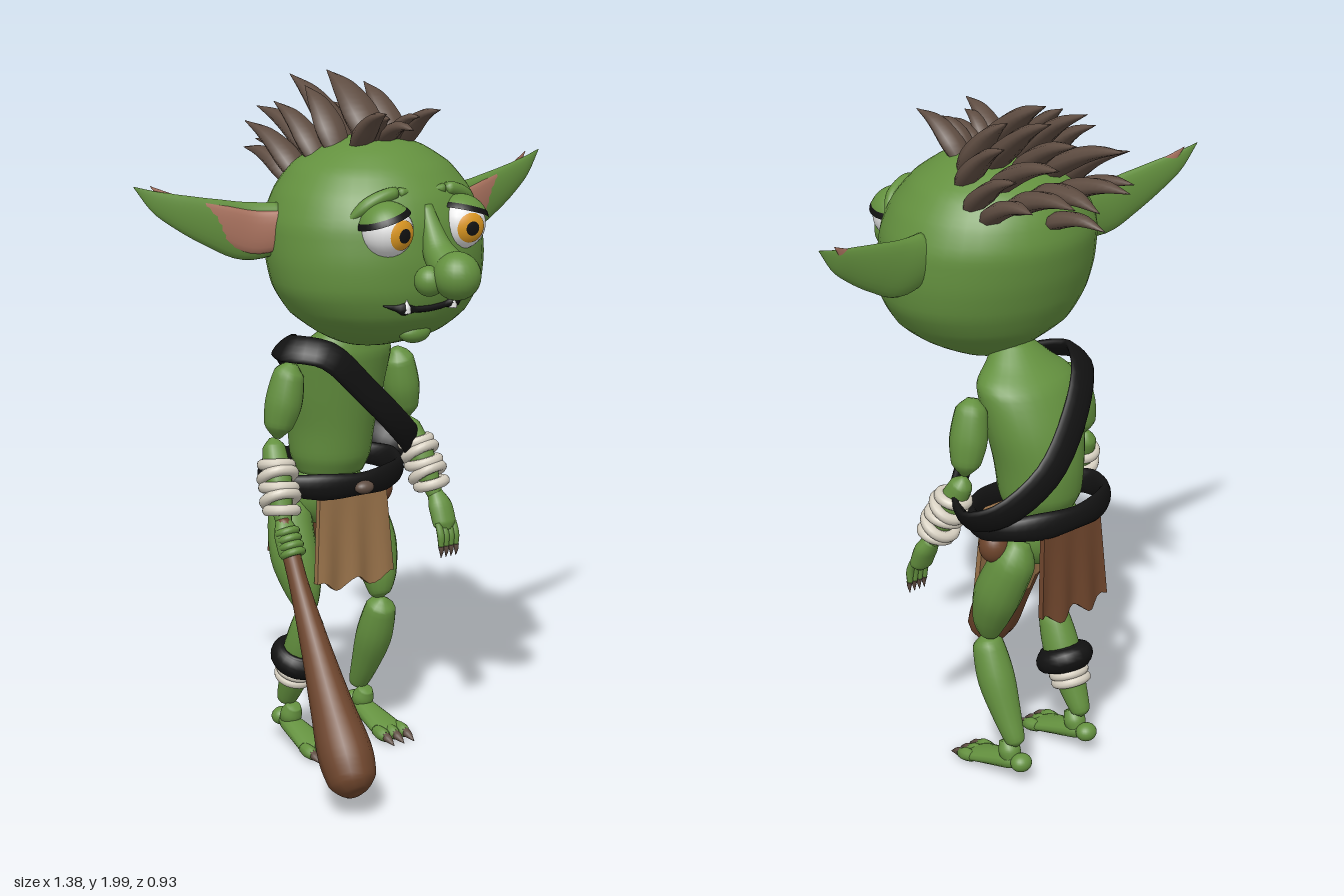
import * as THREE from 'three';

const mat = (name, color) => Object.assign(new THREE.MeshStandardMaterial({ color }), { name });
const V = (x, y, z) => new THREE.Vector3(x, y, z);

export function createModel() {
  const root = new THREE.Group();
  const skin = mat('green skin', 0x64913f), pink = mat('inner ear pink', 0xac7460), hairMat = mat('hair and claws', 0x5f4d42),
    cream = mat('bandage cream', 0xd6cfc0), white = mat('eye white', 0xe4e4e4), amber = mat('amber iris', 0xe09a22),
    black = mat('black leather', 0x121212), wood = mat('brown wood', 0x6e452c), tan = mat('tan cloth', 0x977149);

  const add = (name, geo, m, pos) => {
    const mesh = new THREE.Mesh(geo, m);
    mesh.name = name;
    if (pos) mesh.position.set(...pos);
    root.add(mesh);
    return mesh;
  };

  // Smooth skin through oval sections; rows are [x, y, z, radius, second radius]
  const loft = (name, m, rows, { n = 14, ref = [1, 0, 0], tan: fixed, closed = false, center } = {}) => {
    const steps = rows.length * 4;
    const path = new THREE.CatmullRomCurve3(rows.map(r => V(r[0], r[1], r[2])), closed);
    const size = new THREE.CatmullRomCurve3(rows.map(r => V(r[3], r[4] ?? r[3], 0)), closed);
    const pos = [], idx = [], rings = closed ? steps : steps + 1;
    for (let i = 0; i < rings; i++) {
      const p = path.getPoint(i / steps), q = size.getPoint(i / steps);
      const t = fixed ? V(...fixed) : path.getTangent(i / steps);
      const s = center ? p.clone().sub(V(...center)) : V(...ref);
      s.addScaledVector(t, -s.dot(t)).normalize();
      const b = t.clone().cross(s);
      for (let j = 0; j < n; j++) {
        const a = j / n * Math.PI * 2;
        const v = p.clone().addScaledVector(s, Math.cos(a) * Math.max(q.x, 0.0005)).addScaledVector(b, Math.sin(a) * Math.max(q.y, 0.0005));
        pos.push(v.x, v.y, v.z);
      }
    }
    for (let i = 0; i < steps; i++) for (let j = 0; j < n; j++) {
      const k = (j + 1) % n, a = i * n, c = ((i + 1) % rings) * n;
      idx.push(a + j, a + k, c + j, a + k, c + k, c + j);
    }
    if (!closed) {
      const e = pos.length / 3, f = rows[0], l = rows[rows.length - 1];
      pos.push(f[0], f[1], f[2], l[0], l[1], l[2]);
      for (let j = 0; j < n; j++) {
        const k = (j + 1) % n;
        idx.push(e, k, j, e + 1, steps * n + j, steps * n + k);
      }
    }
    const g = new THREE.BufferGeometry();
    g.setAttribute('position', new THREE.Float32BufferAttribute(pos, 3));
    g.setIndex(idx);
    g.computeVertexNormals();
    return add(name, g, m);
  };
  const ball = (name, m, pos, r, scale = [1, 1, 1]) => {
    const b = add(name, new THREE.SphereGeometry(r, 24, 16), m, pos);
    b.scale.set(...scale);
    return b;
  };
  // Part of a sphere around an axis, for lids and irises
  const cap = (name, m, pos, r, axis, start, length) =>
    add(name, new THREE.SphereGeometry(r, 28, 10, 0, Math.PI * 2, start, length), m, pos)
      .quaternion.setFromUnitVectors(V(0, 1, 0), V(...axis).normalize());
  const ring = (name, m, pos, dir, r, tube, squash = 1) => {
    const t = add(name, new THREE.TorusGeometry(r, tube, 10, 28), m, pos);
    t.quaternion.setFromUnitVectors(V(0, 0, 1), V(...dir).normalize());
    t.scale.z = squash;
  };

  // Head
  const HEAD = [[0, 1.235, -.01, .01, .01], [0, 1.25, 0, .09, .08], [0, 1.29, .03, .18, .165], [0, 1.35, .03, .26, .235],
    [0, 1.43, .025, .307, .27], [0, 1.52, .015, .317, .285], [0, 1.6, .005, .312, .287], [0, 1.68, 0, .28, .265],
    [0, 1.75, -.005, .225, .215], [0, 1.8, 0, .145, .14], [0, 1.825, 0, .07, .07], [0, 1.832, 0, .005, .005]];
  loft('head', skin, HEAD, { n: 40, tan: [0, 1, 0] });
  const faceZ = (x, y) => {
    const i = HEAD.findIndex(r => r[1] > y), a = HEAD[i - 1], b = HEAD[i], t = (y - a[1]) / (b[1] - a[1]);
    const mix = k => a[k] + (b[k] - a[k]) * t;
    return mix(2) + mix(4) * Math.sqrt(1 - (x / mix(3)) ** 2);
  };

  // Nose, chin and mouth
  loft('noseBridge', skin, [[0, 1.66, .255, .02], [0, 1.6, .285, .03], [0, 1.54, .32, .045], [0, 1.5, .37, .055]]);
  ball('noseTip', skin, [0, 1.49, .4], .066);
  ball('chin', skin, [0, 1.305, faceZ(0, 1.305) - .005], .045, [1.1, .65, .7]);
  const lip = [-.14, -.1, -.05, 0, .05, .1, .14].map((x, i) => {
    const y = 1.385 + x * x * 1.1 + x * .04;
    return [x, y, faceZ(x, y) + .004, i % 6 ? .009 : .002];
  });
  loft('mouth', black, lip, { n: 8, ref: [0, 1, 0] });
  for (const x of [-.08, .075]) {
    const z = faceZ(x, 1.39) + .012;
    loft('tooth', white, [[x, 1.378, z, .012], [x, 1.395, z, .01], [x, 1.415, z, .001]], { n: 8 });
  }

  for (const s of [-1, 1]) {
    ball('nostril', skin, [s * .055, 1.475, .35], .042);
    // Eye with a drooping lid
    const eye = [s * .122, 1.603, .248], gaze = [-s * .12, -.08, 1];
    ball('eyeball', white, eye, .072);
    cap('iris', amber, eye, .0735, gaze, 0, .6);
    cap('pupil', black, eye, .075, gaze, 0, .27);
    cap('eyelid', skin, eye, .081, [s * .3, 1, -.1], 0, 1.02);
    cap('lashLine', black, eye, .082, [s * .3, 1, -.1], .98, .22);
    loft('brow', skin, [[s * .04, 1.70, .235, .008], [s * .1, 1.70, .235, .018], [s * .16, 1.675, .22, .02], [s * .21, 1.63, .19, .008]]);
    // Ear, with a lining on its front
    const EAR = [[.27, 1.59, -.04, .07, .035], [.37, 1.585, -.06, .08, .025], [.465, 1.613, -.075, .067, .02],
      [.55, 1.645, -.09, .05, .015], [.62, 1.677, -.105, .032, .01], [.69, 1.725, -.12, .001, .001]];
    loft('ear', skin, EAR.map(([x, ...r]) => [s * x, ...r]), { n: 20, ref: [0, 1, 0] });
    loft('earLining', pink, EAR.map(([x, y, z, h, t]) => [s * (x - (x - .27) * .12), y - .002, z + t * .8, h * .74, t * .5]), { n: 16, ref: [0, 1, 0] });
  }

  // Hair spikes: base x, y, z then tip x, y, z; side spikes are mirrored
  const spike = (x, y, z, X, Y, Z, w = .05) => {
    const at = (t, lift) => [x + (X - x) * t, y + (Y - y) * t + lift, z + (Z - z) * t];
    loft('hairSpike', hairMat, [[...at(-.1, -.01), w * .6, w * .4], [...at(.2, .02), w, w * .6],
      [...at(.6, .025), w * .65, w * .4], [...at(1, 0), .001]], { n: 8 });
  };
  spike(0, 1.82, 0, 0, 1.99, -.22, .06);
  spike(0, 1.78, -.12, .03, 1.92, -.37);
  spike(0, 1.73, -.19, .03, 1.76, -.46);
  spike(0, 1.66, -.23, -.02, 1.69, -.43, .04);
  spike(0, 1.81, .05, 0, 1.86, .2, .035);
  for (const s of [-1, 1]) [[.1, 1.79, -.02, .1, 1.955, -.18], [.05, 1.8, -.07, .065, 1.975, -.31],
    [.14, 1.76, -.05, .165, 1.91, -.24, .045], [.09, 1.76, -.13, .12, 1.88, -.4], [.165, 1.71, -.11, .205, 1.85, -.33, .045],
    [.08, 1.71, -.18, .1, 1.78, -.44], [.15, 1.69, -.16, .185, 1.77, -.37, .045], [.07, 1.8, .04, .09, 1.91, .2, .04],
    [.035, 1.81, .05, .05, 1.89, .16, .03]].forEach(([x, y, z, X, ...r]) => spike(s * x, y, z, s * X, ...r));

  // Hunched torso and hips
  loft('torso', skin, [[0, 1.3, -.09, .05, .05], [0, 1.25, -.12, .1, .075], [0, 1.19, -.15, .158, .11], [0, 1.08, -.185, .15, .125],
    [0, .97, -.205, .13, .125], [0, .88, -.21, .12, .115], [0, .83, -.21, .1, .09]], { n: 28, tan: [0, -1, 0] });
  ball('hips', skin, [0, .76, -.23], .1, [1.25, 1, .8]);

  // Belt, shoulder sash and small things hung from the belt
  loft('belt', black, Array.from({ length: 12 }, (_, i) => {
    const a = i / 12 * Math.PI * 2;
    return [Math.cos(a) * .215, .828 - Math.sin(a) * .012, -.205 + Math.sin(a) * .15, .018, i % 2 ? .034 : .04];
  }), { closed: true, center: [0, .83, -.2] });
  loft('sash', black, [[-.195, 1.225, -.13], [-.12, 1.21, -.045], [0, 1.1, -.035], [.12, .99, -.055], [.23, .895, -.12], [.265, .86, -.2],
    [.22, .89, -.29], [.1, .99, -.345], [-.03, 1.11, -.31], [-.14, 1.21, -.23]].map(p => [...p, .015, .045]),
  { closed: true, center: [0, 1.04, -.19] });
  ball('beltKnot', hairMat, [0, .81, -.035], .028, [1.1, .7, .8]);
  ball('pouch', wood, [.165, .75, -.2], .043, [1, 1.15, 1]);

  // Loincloth panels with wavy hems
  const cloth = (name, m, top, bottom, zTop, zBottom, w) => {
    const g = new THREE.BoxGeometry(2, 1, .018, 16, 6, 1), p = g.attributes.position;
    for (let i = 0; i < p.count; i++) {
      const u = p.getX(i), v = .5 - p.getY(i);
      p.setXYZ(i, u * w * (.85 + .15 * v), top + (bottom - top) * v + v * .018 * Math.cos(u * 7),
        p.getZ(i) + zTop + (zBottom - zTop) * v + Math.cos(u * 8) * .008 * v);
    }
    g.computeVertexNormals();
    add(name, g, m);
  };
  cloth('frontLoincloth', tan, .81, .515, -.1, -.085, .135);
  cloth('backLoincloth', wood, .83, .55, -.335, -.35, .125);

  for (const s of [-1, 1]) {
    // Arm and bandaged wrist
    loft('upperArm', skin, [[s * .18, 1.18, -.13, .015], [s * .19, 1.15, -.135, .045], [s * .205, 1.07, -.14, .054],
      [s * .22, 1, -.145, .042], [s * .225, .965, -.145, .01]]);
    loft('forearm', skin, [[s * .235, .965, -.155, .01], [s * .237, .94, -.145, .033], [s * .25, .86, -.105, .04],
      [s * .262, .77, -.065, .028], [s * .267, .73, -.045, .02]]);
    [[.895, .04], [.865, .046], [.835, .044], [.805, .046], [.775, .04]].forEach(([y, r], i) =>
      ring('wristBandage', cream, [s * (.25 + (.86 - y) * .15), y, -.105 + (.86 - y) * .45], [s * .15, -1, .45 + (i % 2 ? .25 : -.2)], r, .016));
    loft('palm', skin, [[s * .267, .75, -.055, .022], [s * .27, .71, -.03, .038, .028], [s * .27, .665, -.01, .038, .026], [s * .27, .645, 0, .015]]);
    // Fingers hang on the left and curl round the club on the right
    for (let i = 0; i < 4; i++) {
      if (s > 0) {
        const x = .243 + i * .018;
        loft('finger', skin, [[x, .67, -.005, .01], [x, .635, .008, .011], [x, .6, .01, .008]], { n: 8 });
        loft('fingerClaw', hairMat, [[x, .602, .01, .009], [x, .59, .012, .007], [x, .568, .01, .001]], { n: 8 });
      } else ring('curledFinger', skin, [-.27, .72 - i * .018, -.03 + i * .01], [0, -1, .55], .027, .011);
    }
    // Leg
    loft('thigh', skin, [[s * .11, .77, -.25, .03], [s * .125, .7, -.235, .065], [s * .14, .6, -.195, .07],
      [s * .135, .5, -.155, .055], [s * .13, .44, -.14, .03], [s * .13, .428, -.135, .005]]);
    loft('shin', skin, [[s * .13, .43, -.125, .01], [s * .13, .405, -.135, .045], [s * .13, .31, -.17, .055],
      [s * .13, .2, -.22, .042], [s * .13, .13, -.255, .028], [s * .13, .115, -.26, .005]]);
    // Foot with three clawed toes
    ball('heel', skin, [s * .13, .07, -.28], .027, [1.2, 1, 1.1]);
    loft('ankle', skin, [[s * .13, .12, -.215, .022], [s * .13, .09, -.23, .033], [s * .13, .06, -.245, .025]]);
    loft('foot', skin, [[s * .13, .07, -.29, .012], [s * .13, .062, -.24, .032, .025], [s * .13, .045, -.17, .043, .024],
      [s * .13, .026, -.1, .052, .02], [s * .13, .018, -.07, .03, .012]]);
    for (const k of [-1, 0, 1]) {
      const x = s * .13 + k * .036;
      loft('toe', skin, [[x, .028, -.11, .016], [x, .024, -.08, .02], [x, .018, -.055, .014]], { n: 10 });
      loft('toeClaw', hairMat, [[x, .022, -.062, .014], [x, .018, -.045, .012], [x, .006, -.015, .001]], { n: 8 });
    }
  }

  // Band and bandage on the right shin
  loft('shinBand', black, [[-.13, .315, -.168, .058], [-.13, .31, -.17, .067], [-.13, .255, -.197, .067], [-.13, .25, -.199, .055]], { n: 20 });
  for (const y of [.24, .218]) ring('shinBandage', cream, [-.13, y, -.17 - (.31 - y) * .46], [0, -1, -.4], .046, .014);

  // Wooden club
  loft('club', wood, [[-.27, .755, -.05, .018], [-.27, .72, -.035, .025], [-.275, .6, .03, .027], [-.285, .43, .135, .042],
    [-.3, .29, .235, .06], [-.31, .17, .32, .077], [-.315, .11, .36, .068], [-.315, .08, .38, .035], [-.315, .075, .385, .005]], { n: 12 });

  return root;
}
